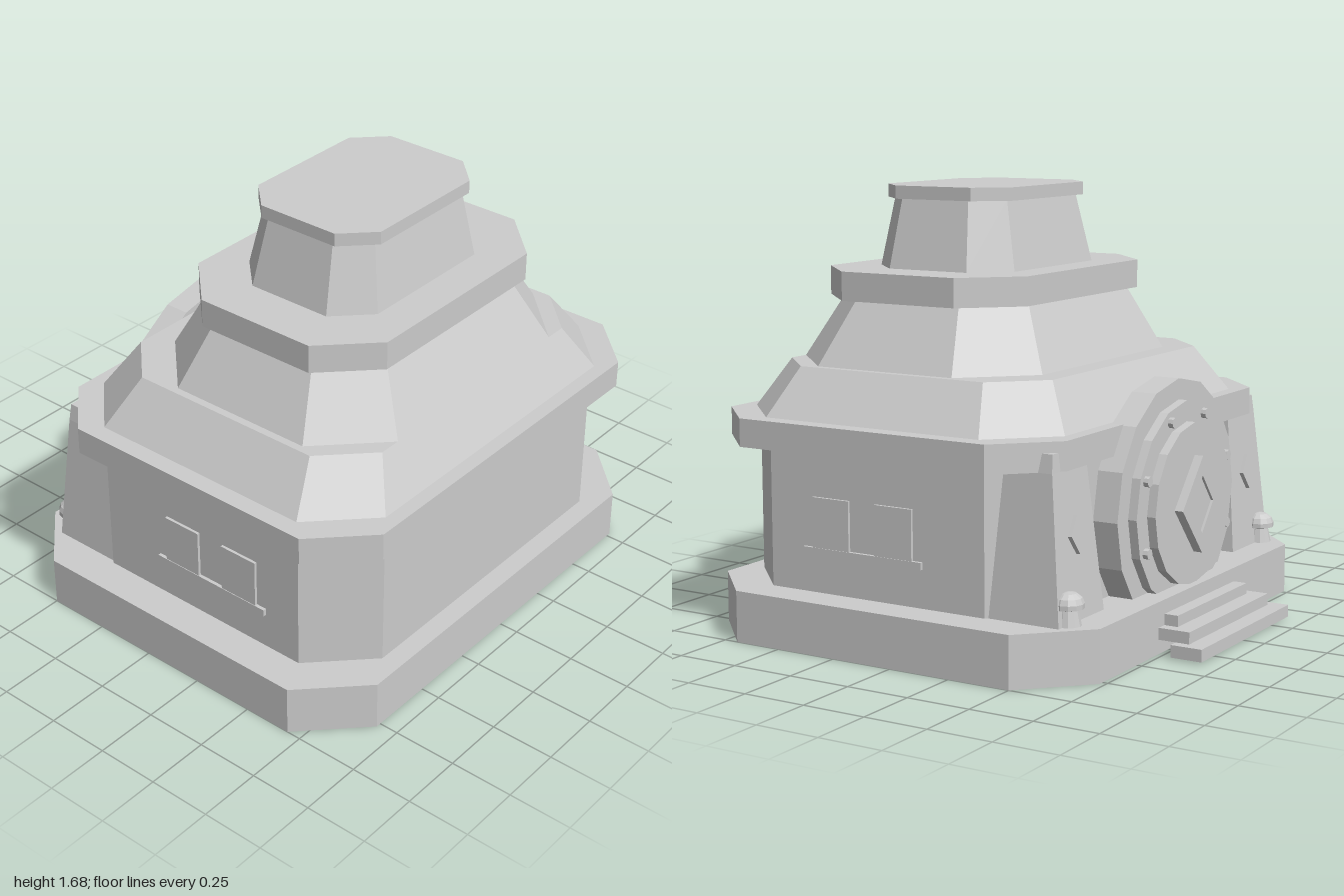
import * as THREE from 'three';

const stone = new THREE.MeshStandardMaterial({ color: 0xcccccc, side: THREE.DoubleSide });
stone.name = 'pale stone grey';

// Flat-faced solid through stacked loops of [x, y, z] corners, open or closed below
function loft(loops, closedBelow = true) {
  const pos = [];
  const tri = (a, b, c) => pos.push(...a, ...b, ...c);
  const n = loops[0].length;
  for (let l = 0; l < loops.length - 1; l++) {
    const lo = loops[l], hi = loops[l + 1];
    for (let i = 0; i < n; i++) {
      const j = (i + 1) % n;
      tri(lo[i], lo[j], hi[j]);
      tri(lo[i], hi[j], hi[i]);
    }
  }
  const bottom = loops[0], top = loops[loops.length - 1];
  for (let i = 1; i < n - 1; i++) {
    if (closedBelow) tri(bottom[0], bottom[i + 1], bottom[i]);
    tri(top[0], top[i], top[i + 1]);
  }
  const g = new THREE.BufferGeometry();
  g.setAttribute('position', new THREE.Float32BufferAttribute(pos, 3));
  g.computeVertexNormals();
  return g;
}

// Rectangle with cut corners: half width, front z, back z, corner cut
const octagon = (y, hx, zf, zb, c) => [
  [hx - c, y, zf], [hx, y, zf - c], [hx, y, zb + c], [hx - c, y, zb],
  [c - hx, y, zb], [-hx, y, zb + c], [-hx, y, zf - c], [c - hx, y, zf],
];

const rectangle = (y, x0, x1, zf, zb) => [
  [x1, y, zf], [x1, y, zb], [x0, y, zb], [x0, y, zf],
];

export function createModel() {
  const model = new THREE.Group();
  model.name = 'vaultHouse';

  const add = (name, geometry, x = 0, y = 0, z = 0, parent = model) => {
    const m = new THREE.Mesh(geometry, stone);
    m.name = name;
    m.position.set(x, y, z);
    parent.add(m);
    return m;
  };

  // Tiered body on a hollow base: name, lower section, upper section
  const tiers = [
    ['base', [0, 1, 0.923, -0.73, 0.23], [0.196, 1, 0.923, -0.73, 0.23]],
    ['walls', [0.196, 0.86, 0.845, -0.53, 0.217], [0.735, 0.86, 0.845, -0.53, 0.217]],
    ['eave', [0.73, 0.945, 0.912, -0.575, 0.207], [0.837, 0.945, 0.912, -0.575, 0.207]],
    ['lowerRoof', [0.837, 0.875, 0.855, -0.52, 0.22], [1.016, 0.735, 0.758, -0.41, 0.18]],
    ['middleRoof', [1.016, 0.705, 0.758, -0.315, 0.238], [1.26, 0.56, 0.628, -0.2, 0.185]],
    ['collar', [1.256, 0.615, 0.667, -0.223, 0.195], [1.366, 0.615, 0.667, -0.223, 0.195]],
    ['upperRoof', [1.366, 0.42, 0.52, -0.087, 0.13], [1.63, 0.36, 0.475, -0.033, 0.105]],
    ['topCap', [1.628, 0.375, 0.505, -0.063, 0.115], [1.678, 0.375, 0.505, -0.063, 0.115]],
  ];
  for (const [name, lo, hi] of tiers) {
    add(name, loft([octagon(...lo), octagon(...hi)], name !== 'base'));
  }

  // Steps at the back entrance
  const steps = [
    [0.375, 0.008, 0.055, -0.80, -0.925],
    [0.335, 0.055, 0.1, -0.73, -0.855],
    [0.29, 0.1, 0.142, -0.73, -0.785],
  ];
  for (const [hx, y0, y1, z0, z1] of steps) {
    add('step', new THREE.BoxGeometry(hx * 2, y1 - y0, z0 - z1), 0, (y0 + y1) / 2, (z0 + z1) / 2);
  }

  // Round vault door, facing -z
  const door = new THREE.Group();
  door.name = 'roundDoor';
  door.position.set(0, 0.5, 0);
  model.add(door);
  const disc = (name, r, sides, z0, z1, x = 0, y = 0) => {
    const g = new THREE.CylinderGeometry(r, r, z0 - z1, sides).toNonIndexed();
    g.rotateX(-Math.PI / 2);
    g.computeVertexNormals();
    return add(name, g, x, y, (z0 + z1) / 2, door);
  };
  disc('doorFrame', 0.47, 16, -0.528, -0.63);
  disc('doorRing', 0.39, 16, -0.63, -0.665);
  disc('doorPanel', 0.31, 16, -0.665, -0.70);
  for (let i = 0; i < 8; i++) {
    const a = (i + 0.5) * Math.PI / 4;
    disc('rivet', 0.02, 8, -0.66, -0.685, 0.35 * Math.cos(a), 0.35 * Math.sin(a));
  }

  // Diamond plates, the door one with a shallow diamond recess
  const diamond = (Path, w, h) => new Path([[w, 0], [0, h], [-w, 0], [0, -h]]
    .map(([x, y]) => new THREE.Vector2(x, y)));
  const plate = (shape, depth) => new THREE.ExtrudeGeometry(shape, { depth, bevelEnabled: false });
  const frame = diamond(THREE.Shape, 0.16, 0.185);
  frame.holes.push(diamond(THREE.Path, 0.09, 0.11));
  add('doorDiamond', plate(frame, 0.035), 0, 0, -0.735, door);
  add('doorDiamondInset', plate(diamond(THREE.Shape, 0.09, 0.11), 0.025), 0, 0, -0.725, door);
  const smallDiamond = plate(diamond(THREE.Shape, 0.05, 0.07), 0.02);

  // Lamp outline: post, flared collar and dome
  const lampProfile = [[0, 0], [0.048, 0], [0.036, 0.056], [0.058, 0.062], [0.058, 0.08],
    [0.05, 0.1], [0.03, 0.115], [0, 0.12]].map(([x, y]) => new THREE.Vector2(x, y));
  const lamp = new THREE.LatheGeometry(lampProfile, 12).toNonIndexed();
  lamp.computeVertexNormals();

  for (const s of [-1, 1]) {
    const span = (a, b) => (s > 0 ? [a, b] : [-b, -a]);

    // Tapered corner pillar with its diamond and lamp
    add('cornerPillar', loft([
      rectangle(0.196, ...span(0.53, 0.85), -0.315, -0.61),
      rectangle(0.73, ...span(0.57, 0.81), -0.35, -0.56),
      rectangle(0.797, ...span(0.58, 0.8), -0.4, -0.555),
    ]));
    add('pillarDiamond', smallDiamond, s * 0.69, 0.5, -0.598).rotation.x = 0.09;
    add('lamp', lamp, s * 0.78, 0.196, -0.608);

    // Side windows flush with a shared sill
    for (const z of [0.35, 0.072]) {
      add('window', new THREE.BoxGeometry(0.02, 0.19, 0.163), s * 0.861, 0.462, z);
    }
    add('windowSill', new THREE.BoxGeometry(0.025, 0.027, 0.525), s * 0.861, 0.354, 0.212);
  }

  return model;
}
